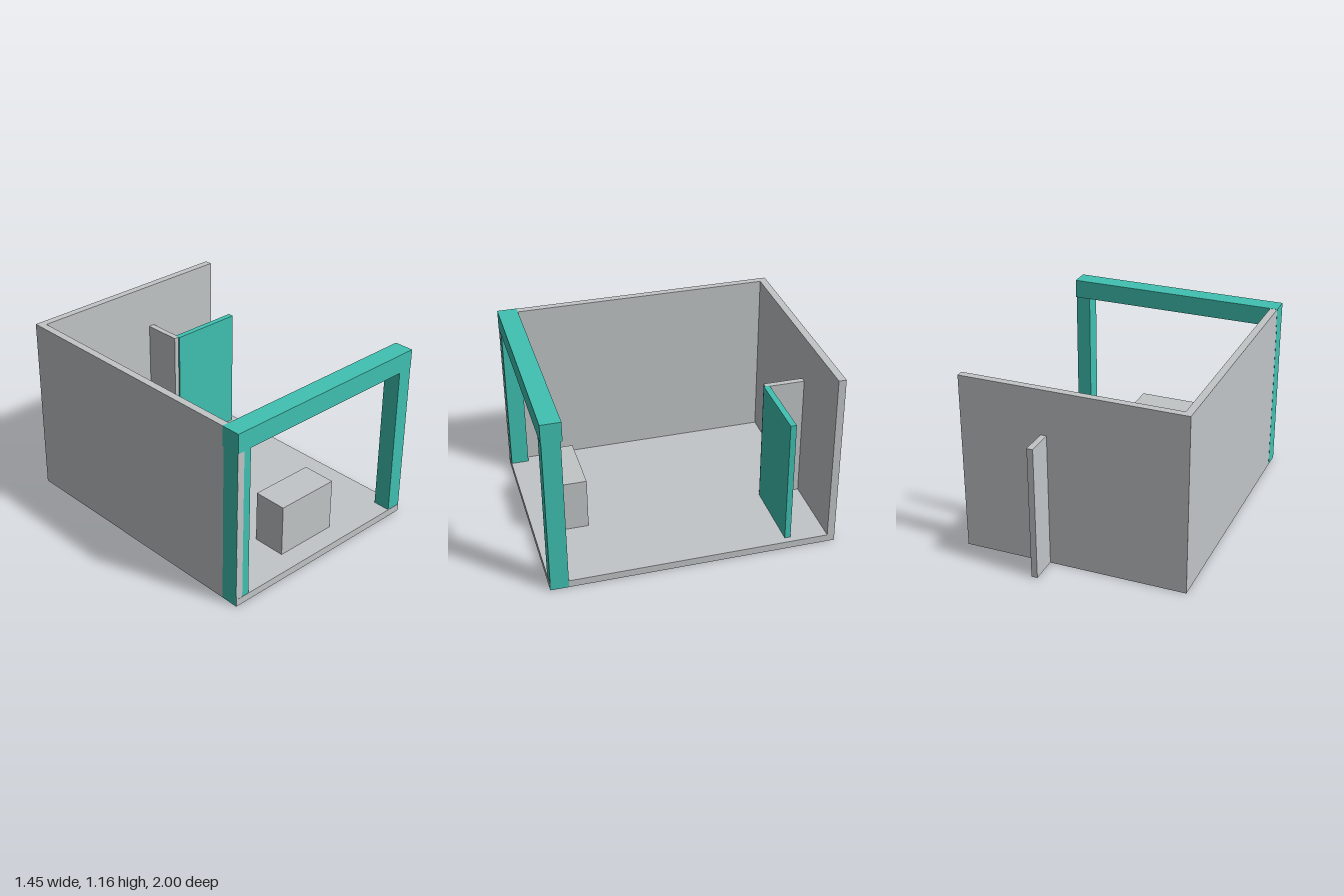
import * as THREE from 'three';

export function createModel() {
  const model = new THREE.Group();
  model.name = 'room';

  const grey = new THREE.MeshStandardMaterial({ color: 0xc2c5c7 });
  grey.name = 'light grey';
  const teal = new THREE.MeshStandardMaterial({ color: 0x40c1b2 });
  teal.name = 'teal';

  // Box given by its minimum and maximum corners
  function block(name, material, [x0, y0, z0], [x1, y1, z1]) {
    const mesh = new THREE.Mesh(new THREE.BoxGeometry(x1 - x0, y1 - y0, z1 - z0), material);
    mesh.position.set((x0 + x1) / 2, (y0 + y1) / 2, (z0 + z1) / 2);
    mesh.name = name;
    model.add(mesh);
  }

  // Tiny offsets (e) keep overlapping faces from flickering
  const e = 0.001, w = 0.722, h = 1.162, t = 0.047;

  // Shell: floor, back wall and one side wall
  block('floor', grey, [-w, 0, -0.817], [w, t, 1]);
  block('backWall', grey, [-w, 0, -0.817], [w, h - e, -0.769]);
  block('sideWall', grey, [-w, 0, -0.817], [-0.675, h - e, 1 - e]);

  // Front frame: two posts under a beam
  for (const side of [-1, 1]) {
    const inner = side * 0.625, outer = side * (w + e);
    block(side < 0 ? 'rightPost' : 'leftPost', teal,
      [Math.min(inner, outer), e, 0.885], [Math.max(inner, outer), 1.04, 1 - 2 * e]);
  }
  block('frontBeam', teal, [-w - e, 1.038, 0.875], [w + e, h, 1]);

  // Fin passing through the back wall, with a panel at its inner end
  block('fin', grey, [0.158, e, -1], [0.197, 0.87, -0.513]);
  block('panel', teal, [0.19, e, -0.54], [0.678, 0.871, -0.502]);

  // Counter block on the floor
  block('counter', grey, [-0.217, t - 0.01, 0.65], [0.212, 0.387, 0.87]);

  return model;
}
